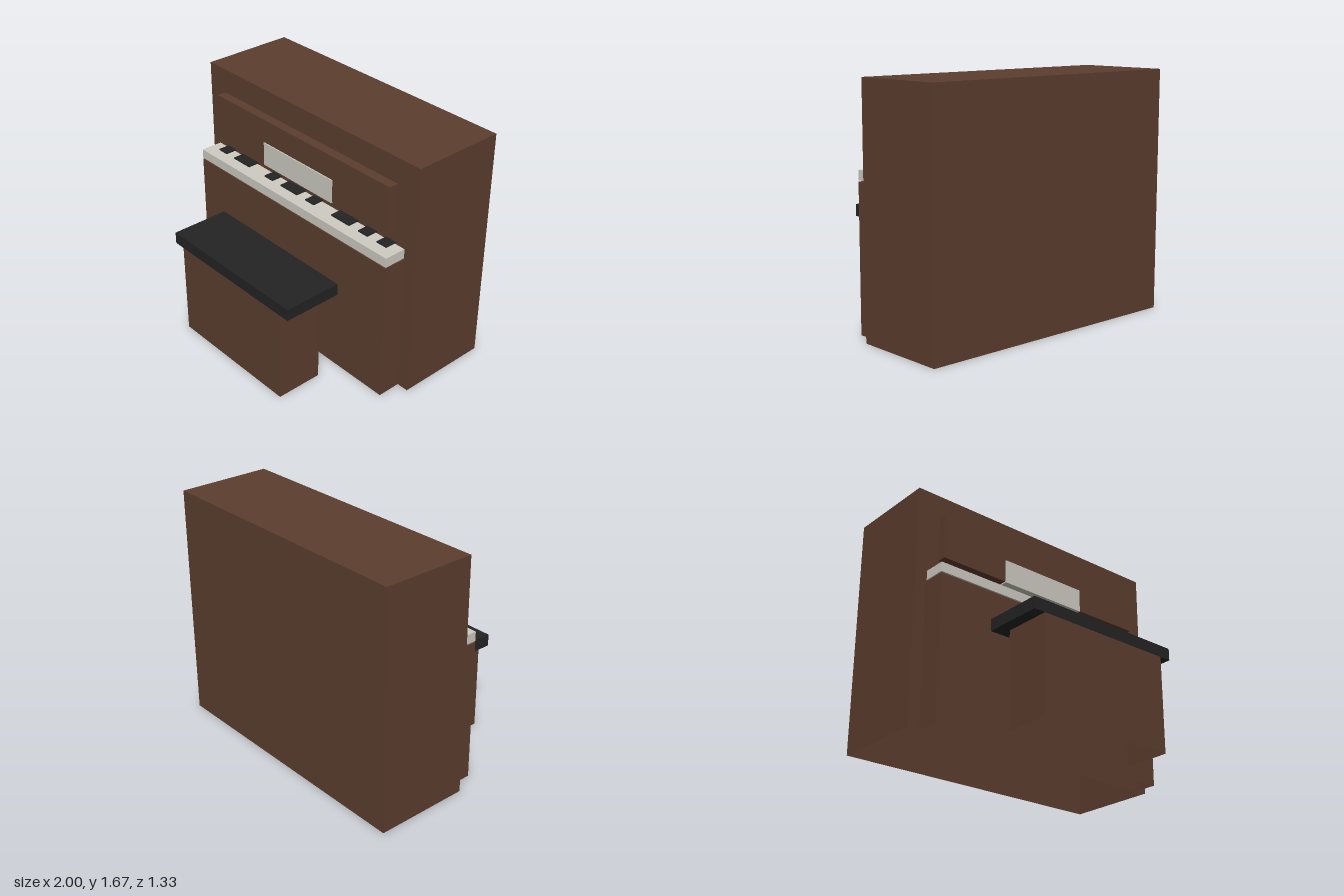
import * as THREE from 'three';

export function createModel() {
  const model = new THREE.Group();
  model.name = 'uprightPiano';

  const material = (name, color) => {
    const m = new THREE.MeshStandardMaterial({ color, side: THREE.DoubleSide });
    m.name = name;
    return m;
  };
  const wood = material('brownWood', 0x5c3d2e);
  const ivory = material('ivory', 0xcdcbc1);
  const black = material('black', 0x242424);
  const brass = material('brass', 0xa18136);

  // Box given by its extents; openBottom leaves out the underside
  function box(name, mat, [x0, x1], [y0, y1], [z0, z1], openBottom = false, parent = model) {
    const geometry = new THREE.BoxGeometry(x1 - x0, y1 - y0, z1 - z0);
    if (openBottom) {
      const index = Array.from(geometry.index.array);
      index.splice(18, 6);
      geometry.setIndex(index);
      geometry.clearGroups();
    }
    const mesh = new THREE.Mesh(geometry, mat);
    mesh.name = name;
    mesh.position.set((x0 + x1) / 2, (y0 + y1) / 2, (z0 + z1) / 2);
    parent.add(mesh);
    return mesh;
  }

  const u = 1 / 12; // module all sizes follow
  const gap = 0.0083;

  // Hollow case and the lower front that carries the keyboard
  box('case', wood, [-1, 1], [0, 20 * u], [-8 * u, 0], true);
  box('lowerFront', wood, [-11 * u, 11 * u], [0, 1], [0, 2 * u], true);

  // Raised panel and sheet music
  box('upperPanel', wood, [-10 * u, 10 * u], [14 * u + gap, 18 * u], [gap, u - gap]);
  box('sheetMusic', ivory, [-4 * u, 4 * u], [14 * u, 16 * u], [0, u]);

  // Keyboard: white strip with groups of black keys
  const keyboard = new THREE.Group();
  keyboard.name = 'keyboard';
  model.add(keyboard);
  box('whiteKeys', ivory, [-11 * u, 11 * u], [1 + gap, 13 * u - gap], [gap, 2 * u], false, keyboard);
  const blackKeys = [[-10, -9], [-8, -6], [-4, -3], [-2, 0], [1, 2], [4, 6], [7, 8], [9, 10]];
  for (const [a, b] of blackKeys) {
    box('blackKey', black, [a * u, b * u], [1, 13 * u], [0, u], false, keyboard);
  }

  // Pedal
  box('pedal', brass, [-2 * u, 2 * u], [u, 2 * u], [2 * u, 3 * u]);

  // Bench
  const bench = new THREE.Group();
  bench.name = 'bench';
  model.add(bench);
  box('benchBase', wood, [-6 * u, 6 * u], [0, 8 * u], [4 * u, 8 * u], true, bench);
  box('benchSeat', black, [-7 * u, 7 * u], [8 * u, 9 * u], [3 * u, 8 * u], false, bench);

  return model;
}
